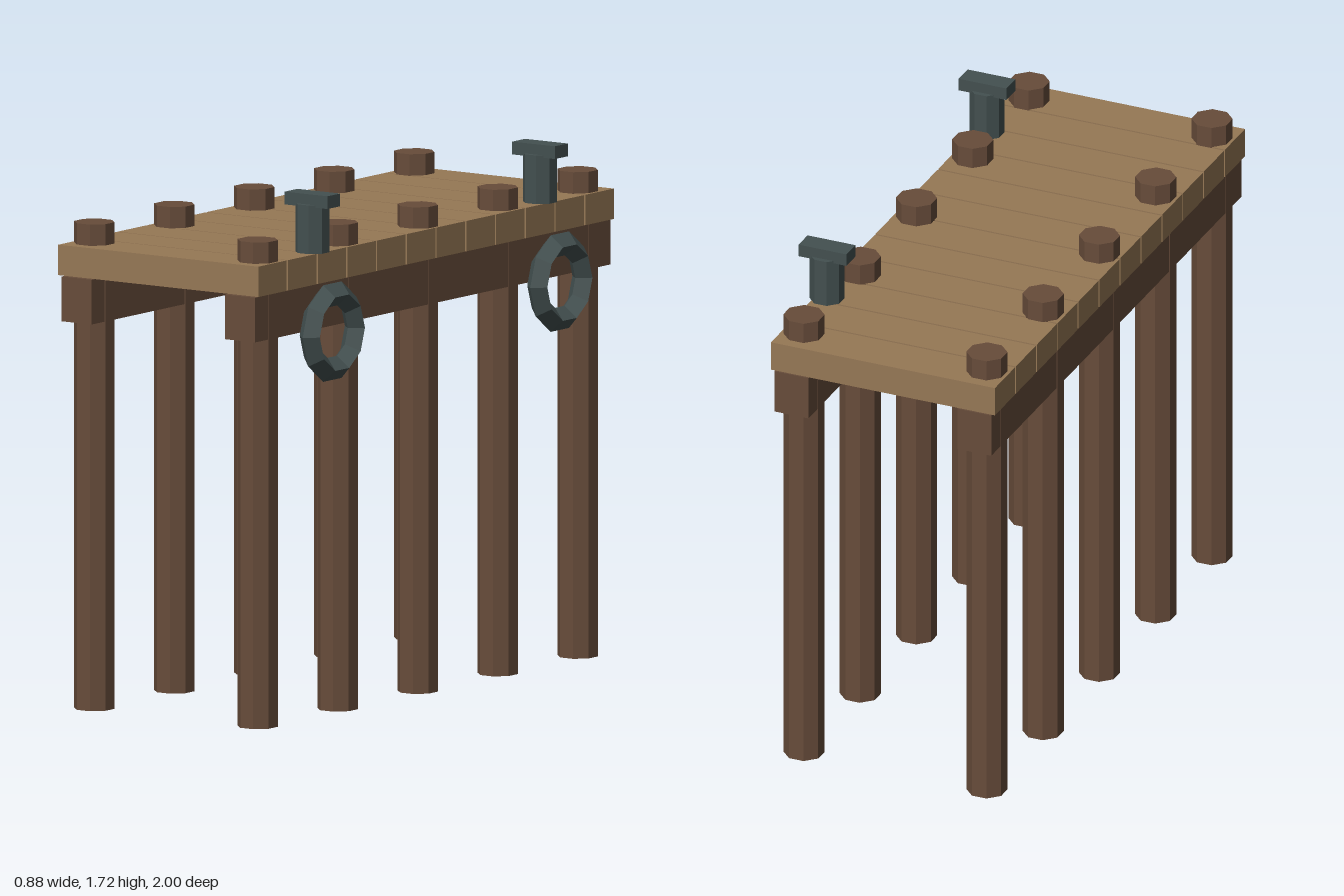
import * as THREE from 'three';

export function createModel() {
  const model = new THREE.Group();
  model.name = 'dock';
  const material = (name, color) => new THREE.MeshStandardMaterial({ name, color, flatShading: true });
  const plankWood = material('plank wood', 0x967855);
  const postWood = material('post wood', 0x674c3a);
  const iron = material('dark iron', 0x435050);

  const add = (name, geometry, mat, x, y, z, parent = model) => {
    const mesh = new THREE.Mesh(geometry, mat);
    mesh.name = name;
    mesh.position.set(x, y, z);
    parent.add(mesh);
    return mesh;
  };
  // Octagonal column with flat sides facing the axes
  const column = (r, h) => new THREE.CylinderGeometry(r, r, h, 8).rotateY(Math.PI / 8);

  const deckX = -0.04;

  // Deck planks
  const plank = new THREE.BoxGeometry(0.796, 0.1, 0.16);
  for (let i = 0; i < 12; i++) {
    add('plank', plank, plankWood, deckX, 1.48, -0.92 + (i * 1.84) / 11);
  }

  // Two rows of piles, each with a beam under the deck
  const pile = column(0.067, 1.6);
  const beam = new THREE.BoxGeometry(0.12, 0.147, 2);
  for (const side of [-1, 1]) {
    const x = deckX + side * 0.325;
    add('beam', beam, postWood, x, 1.353, 0);
    for (let i = -2; i <= 2; i++) add('pile', pile, postWood, x, 0.8, i * 0.45);
  }

  // Mooring bollards, each with a fender ring hung below
  const stem = column(0.057, 0.16);
  const cap = new THREE.BoxGeometry(0.17, 0.042, 0.072);
  const ring = new THREE.TorusGeometry(0.127, 0.04, 4, 10).rotateY(Math.PI / 2);
  for (const z of [-0.64, 0.64]) {
    const bollard = new THREE.Group();
    bollard.name = 'bollard';
    bollard.position.set(0.319, 1.53, z);
    add('bollardStem', stem, iron, 0, 0.08, 0, bollard);
    add('bollardCap', cap, iron, 0, 0.173, 0, bollard);
    model.add(bollard);
    add('fenderRing', ring, iron, 0.398, 1.274, z);
  }
  return model;
}
